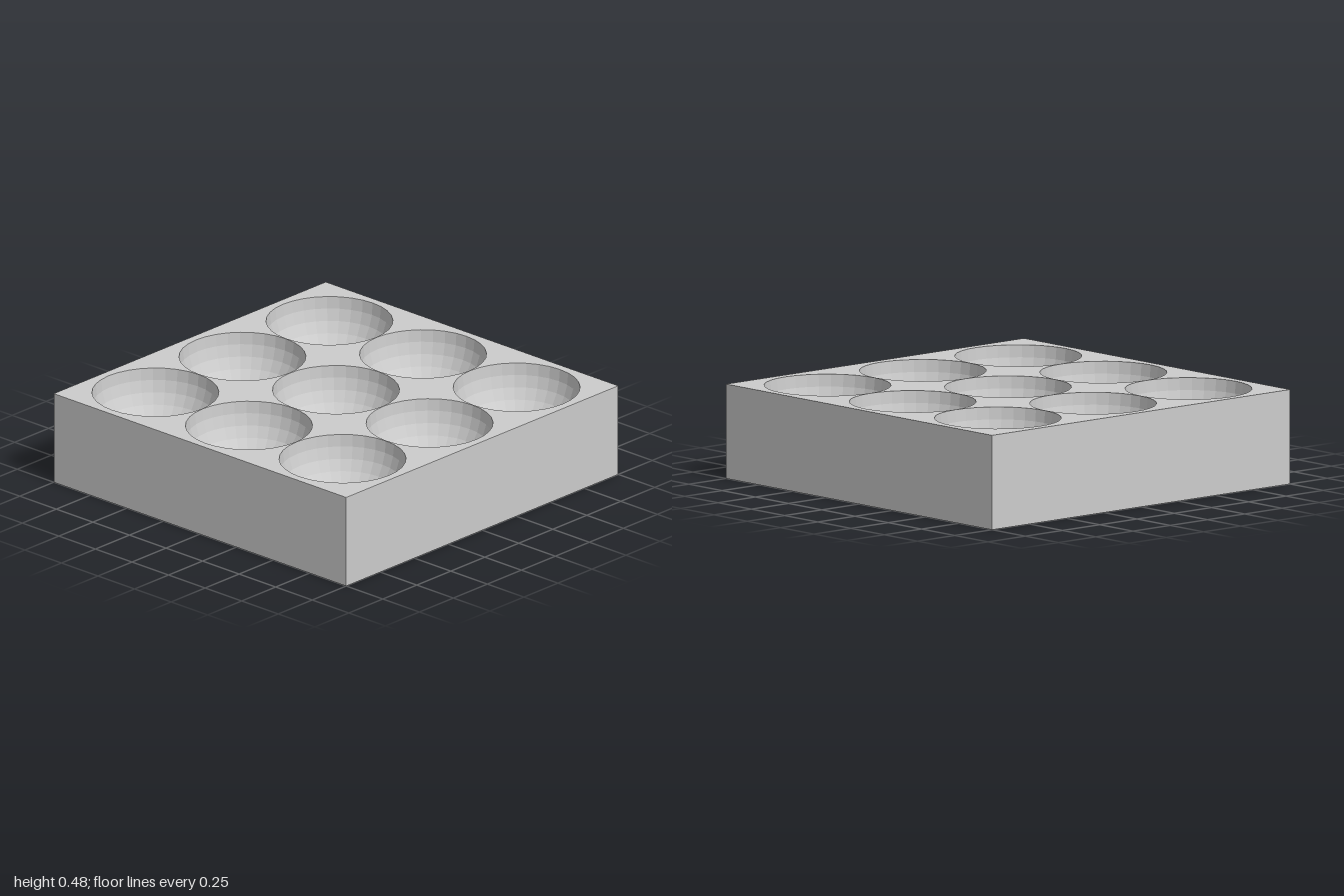
import * as THREE from 'three';

const HEIGHT = 0.48, RADIUS = 0.318, PITCH = 0.64, SIDES = 32, RINGS = 8;

export function createModel() {
  const group = new THREE.Group();
  const material = new THREE.MeshStandardMaterial({ color: 0xcccccc, flatShading: true });
  const add = (name, geometry, x, y, z) => {
    const mesh = new THREE.Mesh(geometry, material);
    mesh.name = name;
    mesh.position.set(x, y, z);
    group.add(mesh);
  };

  // Block sides and base: a box without its top face
  const block = new THREE.BoxGeometry(2, HEIGHT, 2);
  block.setIndex(Array.from(block.index.array).filter((_, i) => i < 12 || i >= 18));
  block.clearGroups();
  add('block', block, 0, HEIGHT / 2, 0);

  // Hemispherical bowl, profiled from rim to bottom so that it faces inward
  const profile = [];
  for (let i = 0; i <= RINGS; i++) {
    const a = (i / RINGS) * Math.PI / 2;
    profile.push(new THREE.Vector2(i === RINGS ? 0 : RADIUS * Math.cos(a), -RADIUS * Math.sin(a)));
  }
  const bowl = new THREE.LatheGeometry(profile, SIDES);

  // Top face with a round opening over each bowl
  const top = new THREE.Shape([[-1, -1], [1, -1], [1, 1], [-1, 1]].map(([x, y]) => new THREE.Vector2(x, y)));
  for (let row = -1; row <= 1; row++) {
    for (let col = -1; col <= 1; col++) {
      const x = col * PITCH, z = row * PITCH;
      top.holes.push(new THREE.Path().absarc(x, -z, RADIUS, 0, Math.PI * 2, true));
      add('bowl', bowl, x, HEIGHT, z);
    }
  }
  add('topFace', new THREE.ShapeGeometry(top, SIDES / 2).rotateX(-Math.PI / 2), 0, HEIGHT, 0);
  return group;
}
